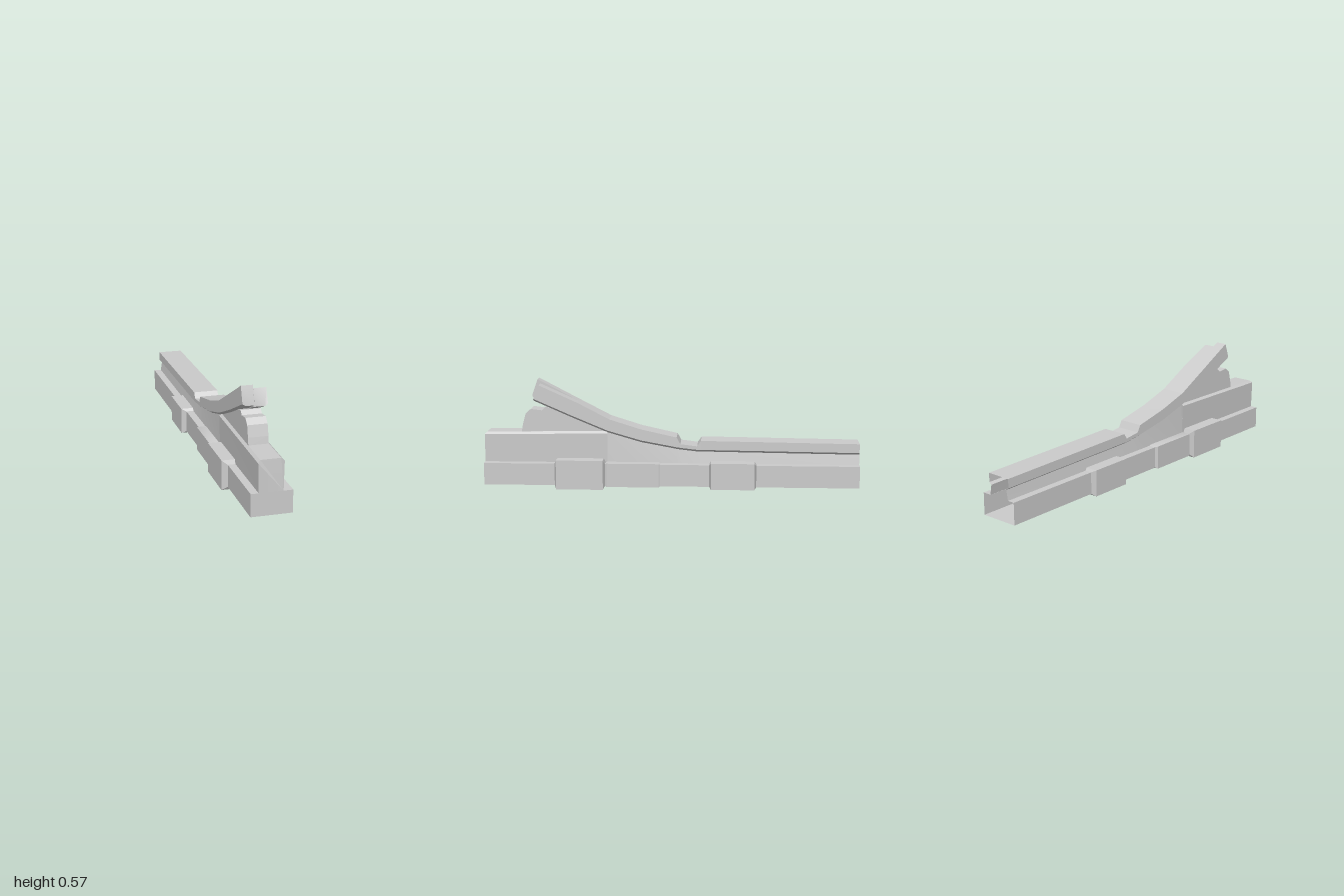
import * as THREE from 'three';
import { toCreasedNormals } from 'three/addons/utils/BufferGeometryUtils.js';

const material = new THREE.MeshStandardMaterial({ color: 0xcccccc, side: THREE.DoubleSide });

// Skin over cross-sections ordered front to back, each counterclockwise from the front
function skin(name, sections, { closed = false, cap = false } = {}) {
  const n = sections[0].length, index = [];
  for (let s = 0; s < sections.length - 1; s++) {
    for (let i = 0; i < (closed ? n : n - 1); i++) {
      const a = s * n + i, b = s * n + (i + 1) % n, c = a + n, d = b + n;
      index.push(a, c, b, b, c, d);
    }
  }
  if (cap) for (let i = 1; i < n - 1; i++) index.push(0, i, i + 1);
  const geometry = new THREE.BufferGeometry();
  geometry.setAttribute('position', new THREE.Float32BufferAttribute(sections.flat(2), 3));
  geometry.setIndex(index);
  const mesh = new THREE.Mesh(toCreasedNormals(geometry, 0.4), material);
  mesh.name = name;
  return mesh;
}

// Trough section, open where the web rises from it
const trough = (z, x0, x1, y0, y1) => [
  [-0.063, y1, z], [x0, y1, z], [x0, y0, z], [x1, y0, z], [x1, y1, z], [0.057, y1, z],
];

// Cap rail section with bevelled lower edges
const railSection = ([zt, yt, zb, yb], x0 = -0.07, x1 = 0.062, b0 = 0.015, b1 = 0.013) => [
  [x1 - b1, yb - 0.011, zb], [x1, yb, zb], [x1, yt, zt],
  [x0, yt, zt], [x0, yb, zb], [x0 + b0, yb - 0.011, zb],
];

export function createModel() {
  const group = new THREE.Group();

  // Base trough, closed at the front and open at the back
  group.add(skin('base', [1, -1].map(z => trough(z, -0.103, 0.106, 0.018, 0.135)), { cap: true }));

  // Sleeves around the base with bevelled ends
  const sleeves = [
    ['frontSleeve', 0.62, 0.35, -0.133, 0.128, 0, 0.157],
    ['middleSleeve', 0.352, 0.055, -0.115, 0.111, 0.012, 0.139],
    ['rearSleeve', -0.205, -0.455, -0.13, 0.133, 0.008, 0.149],
  ];
  for (const [name, z0, z1, x0, x1, y0, y1] of sleeves) {
    const end = z => trough(z, -0.103, 0.106, 0.018, 0.135);
    const body = z => trough(z, x0, x1, y0, y1);
    group.add(skin(name, [end(z0), body(z0 - 0.01), body(z1 + 0.01), end(z1)]));
  }

  // Rail stations: top z, top y, bottom z, bottom y
  const stations = [
    [0.5, 0.458, 0.53, 0.388],
    [0.33, 0.37, 0.34, 0.309],
    [0.16, 0.317, 0.16, 0.257],
    [-0.03, 0.275, -0.03, 0.222],
    [-0.05, 0.239, -0.05, 0.219],
    [-0.14, 0.228, -0.14, 0.209],
    [-0.16, 0.258, -0.16, 0.209],
    [-1, 0.248, -1, 0.2],
  ];
  const rails = stations.map(s => railSection(s));
  group.add(skin('raisedRail', rails.slice(0, 2), { closed: true, cap: true }));
  group.add(skin('rail', rails.slice(1)));

  // Split front end of the raised rail
  const tips = [
    ['rightTip', [0.72, 0.573, 0.75, 0.49], -0.07, -0.01, 0.015, 0],
    ['leftTip', [0.705, 0.55, 0.735, 0.477], -0.01, 0.062, 0, 0.013],
  ];
  for (const [name, end, ...x] of tips) {
    group.add(skin(name, [railSection(end, ...x), railSection(stations[0], ...x)], { closed: true, cap: true }));
  }

  // Web: solid-topped front block, then two side walls under the rail
  const block = (z, y, zt, yt) => [
    [0.058, 0.135, z], [0.061, y, z], [0.048, yt, zt],
    [-0.055, yt, zt], [-0.068, y, z], [-0.064, 0.135, z],
  ];
  group.add(skin('frontWeb', [block(1, 0.284, 0.988, 0.296), block(0.34, 0.293, 0.34, 0.304)], { cap: true }));
  const wall = side => stations.slice(1).map(([, , z, y]) => {
    const low = [side > 0 ? 0.058 : -0.064, 0.135, z];
    const high = [side > 0 ? 0.049 : -0.055, y - 0.011, z];
    return side > 0 ? [low, high] : [high, low];
  });
  group.add(skin('leftWebWall', wall(1)), skin('rightWebWall', wall(-1)));

  // Notched support below the raised rail
  const outline = [
    [0.3, 0.29], [0.803, 0.29], [0.795, 0.335], [0.78, 0.393], [0.75, 0.42],
    [0.69, 0.413], [0.67, 0.433], [0.61, 0.42], [0.34, 0.3],
  ];
  const shape = new THREE.Shape(outline.map(([z, y]) => new THREE.Vector2(z, y)));
  const support = new THREE.Mesh(
    new THREE.ExtrudeGeometry(shape, { depth: 0.102, bevelEnabled: false }), material);
  support.rotation.y = -Math.PI / 2;
  support.position.x = 0.047;
  support.name = 'support';
  group.add(support);

  return group;
}
